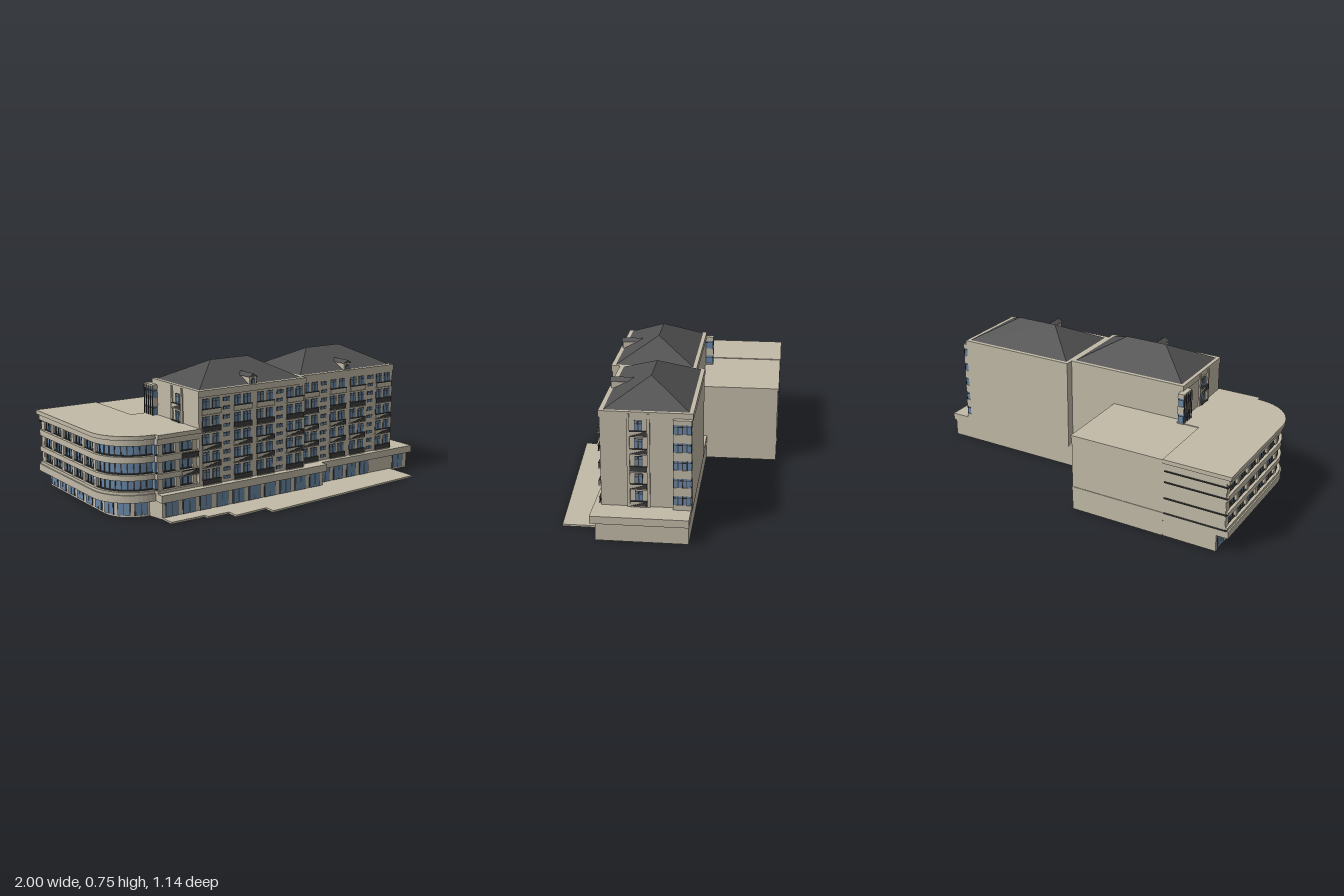
import * as THREE from 'three';
import { mergeGeometries } from 'three/addons/utils/BufferGeometryUtils.js';

const mat = (name, color) => Object.assign(new THREE.MeshStandardMaterial({ color }), { name });

export function createModel() {
  const model = new THREE.Group();
  model.name = 'cornerBuilding';
  const wall = mat('beigeWall', 0xc2baa8);
  const roof = mat('roofGrey', 0x505050);
  const glass = mat('blueGlass', 0x6a88a8);
  const dark = mat('darkFrame', 0x3c3c3c);

  // Pieces with the same part name and colour are merged into one mesh.
  const buckets = new Map();
  const add = (name, material, geo, matrix) => {
    const g = geo.index ? geo.toNonIndexed() : geo;
    if (matrix) g.applyMatrix4(matrix);
    g.computeVertexNormals();
    const key = name + material.name;
    if (!buckets.has(key)) buckets.set(key, { name, material, list: [] });
    buckets.get(key).list.push(g);
  };
  const box = (name, m, x0, x1, y0, y1, z0, z1, matrix) => {
    const g = new THREE.BoxGeometry(x1 - x0, y1 - y0, z1 - z0);
    g.translate((x0 + x1) / 2, (y0 + y1) / 2, (z0 + z1) / 2);
    add(name, m, g, matrix);
  };
  // Plan outline given as [x, z] pairs, raised from y0 to y1.
  const slab = (name, m, plan, y0, y1) => {
    const s = new THREE.Shape(plan.map(([x, z]) => new THREE.Vector2(x, -z)));
    const g = new THREE.ExtrudeGeometry(s, { depth: y1 - y0, bevelEnabled: false });
    g.rotateX(-Math.PI / 2).translate(0, y0, 0);
    add(name, m, g);
  };
  // Placement of a facade: local x runs along the wall, local z points out.
  const facade = (x, z, turn) => new THREE.Matrix4().makeRotationY(turn).setPosition(x, 0, z);

  const windowAt = (name, f, u, v, w, h, panes = 2) => {
    box(name, dark, u - w / 2, u + w / 2, v, v + h, -0.002, 0.002, f);
    const p = w / panes;
    for (let i = 0; i < panes; i++) {
      const a = u - w / 2 + i * p;
      box(name, glass, a + 0.003, a + p - 0.003, v + 0.003, v + h * 0.7, 0, 0.004, f);
      box(name, glass, a + 0.003, a + p - 0.003, v + h * 0.75, v + h - 0.003, 0, 0.004, f);
    }
  };
  // Railing style: 'full' dark panel, 'half' diagonal dark panel, 'plain' beige.
  const balcony = (f, u, v, w, style) => {
    const a = u - w / 2, b = u + w / 2, h = 0.026;
    box('balcony', wall, a, b, v - 0.004, v, 0, 0.014, f);
    box('balcony', style === 'full' ? dark : wall, a, b, v, v + h, 0.008, 0.012, f);
    box('balconyRail', dark, a, b, v + h - 0.003, v + h + 0.001, 0.006, 0.014, f);
    if (style === 'half') {
      const s = new THREE.Shape([[a, v], [b, v], [b, v + h]].map(p => new THREE.Vector2(...p)));
      const g = new THREE.ExtrudeGeometry(s, { depth: 0.002, bevelEnabled: false });
      add('balconyPanel', dark, g.translate(0, 0, 0.012), f);
    }
  };

  const PITCH = 0.093;
  const STYLES = ['full', 'half', 'half', 'full', 'plain'];
  const SIDE_STYLES = ['half', 'half', 'full', 'half', 'half'];

  // Curved corner, centre (-0.76, 0.08)
  const arc = (r, n = 16) => Array.from({ length: n + 1 }, (_, i) => {
    const t = (i / n) * Math.PI / 2;
    return [-0.76 - r * Math.cos(t), 0.08 + r * Math.sin(t)];
  });

  // Paving in front
  slab('paving', wall, [[-0.74, 0.2], [-0.74, 0.43], [-0.54, 0.43], [-0.54, 0.455], [-0.41, 0.455], [-0.41, 0.52],
    [-0.21, 0.505], [-0.21, 0.568], [0.85, 0.49], [0.85, 0.2]], 0, 0.01);

  // Shop floor and its cornice
  slab('shopFloor', wall, [[-0.93, -0.56], ...arc(0.17), [-0.74, 0.345], [0.3, 0.345], [0.3, 0.3], [0.98, 0.3],
    [0.98, -0.16], [-0.1, -0.16], [-0.1, -0.56]], 0, 0.1);
  slab('shopCornice', wall, [[-0.995, -0.565], ...arc(0.235), [-0.76, 0.375], [0.305, 0.375], [0.305, 0.325], [0.995, 0.325],
    [0.995, -0.162], [-0.1, -0.162], [-0.1, -0.565]], 0.095, 0.135);

  // Shop windows
  const shopRow = (f, from, to, pitch) => {
    const n = Math.round((to - from) / pitch), p = (to - from) / n;
    for (let i = 0; i < n; i++) {
      const a = from + i * p;
      box('shopWindows', dark, a + 0.006, a + p - 0.022, 0.01, 0.093, -0.002, 0.003, f);
      for (const [s, e] of [[0.01, 0.46], [0.5, 0.95]]) {
        const w = p - 0.032;
        box('shopWindows', glass, a + 0.01 + s * w, a + 0.01 + e * w, 0.012, 0.091, 0, 0.005, f);
      }
    }
  };
  shopRow(facade(0, 0.345, 0), -0.73, 0.3, 0.105);
  shopRow(facade(0, 0.3, 0), 0.31, 0.7, 0.1);
  shopRow(facade(0, 0.3, 0), 0.86, 0.97, 0.11);
  shopRow(facade(-0.93, 0, -Math.PI / 2), -0.55, 0.08, 0.105);
  for (let i = 0; i < 3; i++) {
    const t = (i + 0.5) / 3 * Math.PI / 2;
    shopRow(facade(-0.76 - 0.168 * Math.cos(t), 0.08 + 0.168 * Math.sin(t), t - Math.PI / 2), -0.042, 0.054, 0.1);
  }

  // Rounded wing: glazed core, beige bands and roof
  const wingPlan = i => [[-1 + i, -0.57 + i], ...arc(0.24 - i), [-0.76, 0.347 - i], [-0.5, 0.347 - i], [-0.5, -0.16],
    [-0.63, -0.16], [-0.63, -0.57 + i]];
  slab('wingGlazing', glass, wingPlan(0.036), 0.13, 0.43);
  for (const [a, b] of [[0.13, 0.15], [0.208, 0.236], [0.297, 0.33], [0.386, 0.425]]) {
    slab('wingBands', wall, wingPlan(0.012), a, b);
    slab('wingSills', dark, wingPlan(0.028), b, b + 0.006);
  }
  slab('wingRoof', wall, wingPlan(0), 0.418, 0.44);
  box('wingBackWall', wall, -0.975, -0.6, 0.13, 0.43, -0.562, -0.52);
  box('rearWing', wall, -0.635, -0.1, 0, 0.428, -0.562, -0.1);
  box('rearWingCornice', wall, -0.635, -0.097, 0.424, 0.436, -0.567, -0.1);
  for (const y of [0.135, 0.222, 0.313, 0.375]) box('rearLedges', dark, -0.985, -0.64, y - 0.003, y + 0.003, -0.568, -0.55);

  // Wing mullions and piers
  const mullion = (f, pier) => pier
    ? box('wingPiers', wall, -0.013, 0.013, 0.135, 0.42, -0.01, 0.012, f)
    : box('wingMullions', dark, -0.003, 0.003, 0.135, 0.42, -0.01, 0.004, f);
  for (let i = 0; i <= 20; i++) mullion(facade(-0.964, -0.545 + i * 0.031, -Math.PI / 2), i % 4 === 0);
  for (let i = 1; i < 10; i++) {
    const t = i / 10 * Math.PI / 2;
    mullion(facade(-0.76 - 0.204 * Math.cos(t), 0.08 + 0.204 * Math.sin(t), t - Math.PI / 2), false);
  }
  for (let i = 0; i <= 6; i++) mullion(facade(-0.735 + i * 0.034, 0.311, 0), i % 3 === 0);
  const wingFront = facade(0, 0.335, 0);
  balcony(wingFront, -0.57, 0.3, 0.1, 'full');
  balcony(wingFront, -0.57, 0.21, 0.1, 'half');

  // Side facade: two pilasters with a column of balconies between
  const sideFacade = (f, u) => {
    for (const s of [-1, 1]) box('pilasters', wall, u + s * 0.05 - 0.007, u + s * 0.05 + 0.007, 0.135, 0.625, 0, 0.008, f);
    for (let k = 0; k < 5; k++) {
      windowAt('sideWindows', f, u, 0.165 + k * PITCH, 0.04, 0.053);
      balcony(f, u, 0.14 + k * PITCH, 0.084, SIDE_STYLES[k]);
    }
  };
  // Glazed corner bay with beige spandrels
  const cornerBay = (x0, x1, side) => {
    const z0 = -0.165, z1 = -0.073, outer = side > 0 ? x1 : x0;
    box('cornerBay', glass, x0 + 0.003, x1 - 0.003, 0.135, 0.6, z0 + 0.003, z1 - 0.003);
    for (let k = 0; k <= 5; k++) {
      const y = 0.125 + k * PITCH;
      box('cornerBay', wall, x0, x1, Math.max(y - 0.007, 0.13), Math.min(y + 0.037, 0.606), z0, z1);
    }
    for (let i = 0; i <= 4; i++) {
      const z = z0 + 0.003 + i * (z1 - z0 - 0.006) / 4;
      box('bayMullions', dark, outer - 0.004, outer - 0.0005, 0.14, 0.6, z - 0.002, z + 0.002);
    }
    for (let k = 0; k < 5; k++) box('bayMullions', dark, x0 + 0.001, x1 - 0.001, 0.198 + k * PITCH, 0.201 + k * PITCH, z0 + 0.001, z1 - 0.001);
  };

  // Two apartment blocks
  const block = (cx, zb, zf) => {
    const x0 = cx - 0.343, x1 = cx + 0.343, f = facade(0, zf, 0);
    box('blockWalls', wall, x0, x1, 0.12, 0.605, zb, zf);
    box('blockEaves', wall, x0 - 0.003, x1 + 0.003, 0.6, 0.634, zb - 0.004, zf + 0.006);
    for (const u of [-0.27, -0.073, 0.073, 0.27]) for (let k = 0; k < 5; k++) {
      for (const s of [-1, 1]) windowAt('frontWindows', f, cx + u + s * 0.031, 0.165 + k * PITCH, 0.044, 0.053);
      balcony(f, cx + u, 0.14 + k * PITCH, 0.114, STYLES[k]);
    }
    for (const u of [-0.172, 0.172]) for (let k = 0; k < 5; k++) {
      windowAt('stairWindows', f, cx + u, 0.15 + k * PITCH, 0.042, 0.018);
      windowAt('stairWindows', f, cx + u, 0.193 + k * PITCH, 0.042, 0.022);
    }
    // Hipped roof: the top of a box drawn in to the ridge
    const depth = zf - zb - 0.026, zc = (zb + zf) / 2, g = new THREE.BoxGeometry(0.662, 0.113, depth);
    const p = g.attributes.position;
    for (let i = 0; i < p.count; i++) if (p.getY(i) > 0) p.setXYZ(i, Math.sign(p.getX(i)) * 0.12, p.getY(i), 0);
    add('hippedRoof', roof, g.translate(cx, 0.6885, zc));
    // Dormer with arched window and gabled roof
    const zd = zf - 0.007, fd = facade(cx, zd, 0);
    box('dormer', wall, -0.022, 0.022, 0.63, 0.674, -0.09, 0, fd);
    const gable = new THREE.Shape([[-0.029, 0.672], [0.029, 0.672], [0, 0.69]].map(q => new THREE.Vector2(...q)));
    add('dormerRoof', roof, new THREE.ExtrudeGeometry(gable, { depth: 0.12, bevelEnabled: false }).translate(0, 0, -0.115), fd);
    box('dormerWindow', dark, -0.011, 0.011, 0.638, 0.656, 0, 0.003, fd);
    const arch = new THREE.CylinderGeometry(0.011, 0.011, 0.003, 16).rotateX(Math.PI / 2);
    add('dormerWindow', dark, arch.translate(0, 0.656, 0.0015), fd);
    box('dormerWindow', glass, -0.008, 0.008, 0.64, 0.657, 0.002, 0.005, fd);
  };
  block(-0.17, -0.12, 0.335);
  block(0.517, -0.166, 0.287);
  sideFacade(facade(0.86, 0, Math.PI / 2), -0.098);
  sideFacade(facade(-0.513, 0, -Math.PI / 2), 0.13);
  cornerBay(0.85, 0.886, 1);
  cornerBay(-0.542, -0.505, -1);

  for (const { name, material, list } of buckets.values()) {
    const mesh = new THREE.Mesh(mergeGeometries(list), material);
    mesh.name = name;
    model.add(mesh);
  }
  return model;
}
